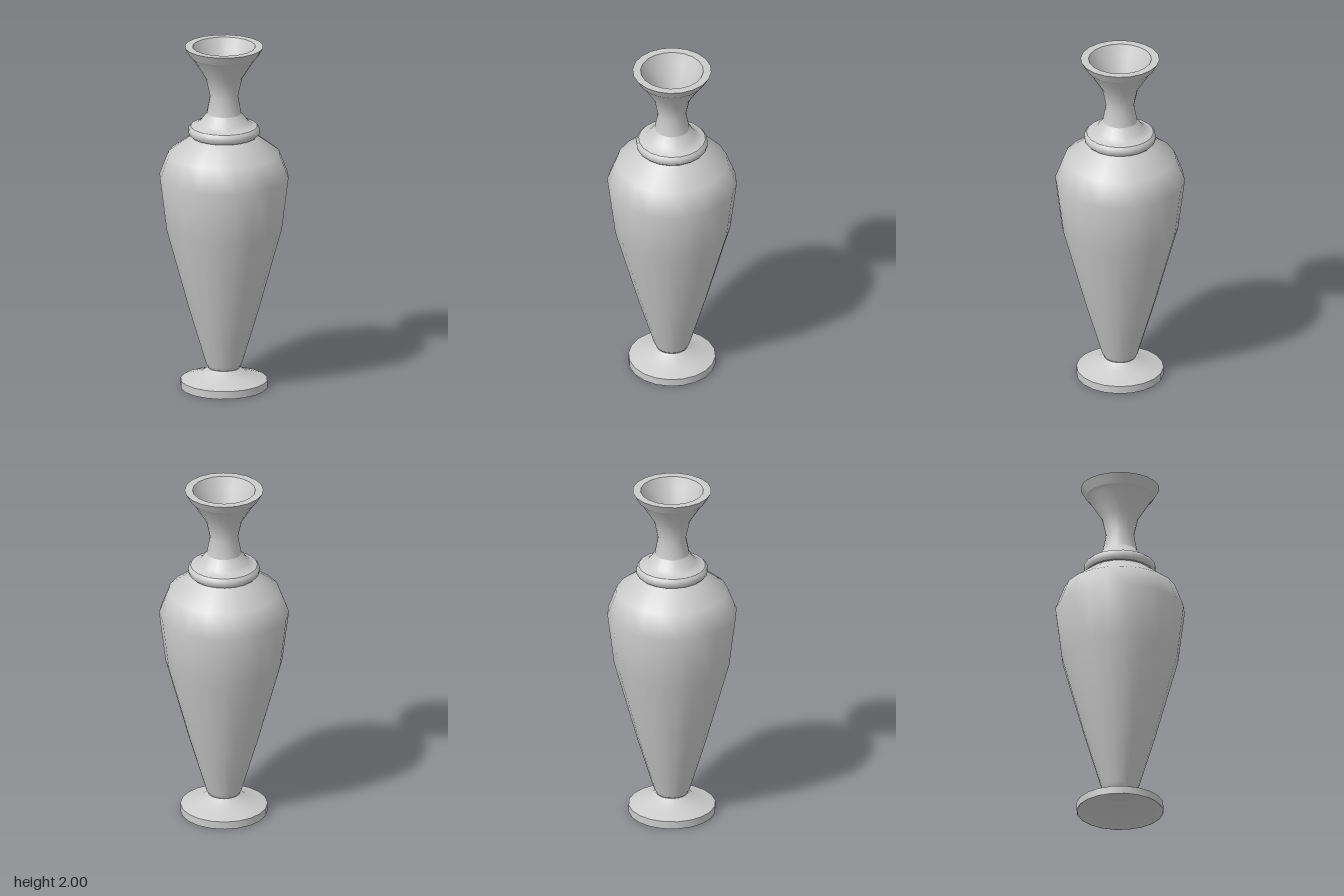
import * as THREE from 'three';

const SIDES = 20;
const material = new THREE.MeshStandardMaterial({ color: 0xcccccc, side: THREE.DoubleSide });

// One smooth run of the turned profile, given as [radius, height] pairs
function turned(name, profile) {
  const points = profile.map(([r, y]) => new THREE.Vector2(r, y));
  const mesh = new THREE.Mesh(new THREE.LatheGeometry(points, SIDES), material);
  mesh.name = name;
  return mesh;
}

function part(name, runs) {
  const group = new THREE.Group();
  group.name = name;
  for (const [runName, profile] of Object.entries(runs)) group.add(turned(runName, profile));
  return group;
}

export function createModel() {
  const vase = new THREE.Group();
  vase.name = 'vase';

  // Disc foot, hollow underneath
  vase.add(part('foot', {
    footEdge: [[0.245, 0], [0.245, 0.045]],
    footTop: [[0.245, 0.045], [0.2, 0.06], [0.13, 0.085], [0.09, 0.115]],
    footHollow: [[0.08, 0.1], [0.12, 0.075], [0.195, 0.045], [0.243, 0]],
    footHollowCap: [[0, 0.1], [0.08, 0.1]],
  }));

  // Tapered belly and sloping shoulder
  vase.add(part('body', {
    belly: [[0.088, 0.115], [0.102, 0.14], [0.2, 0.47], [0.328, 0.94],
      [0.365, 1.24], [0.314, 1.375], [0.18, 1.475]],
  }));

  // Rounded ring between shoulder and neck
  vase.add(part('collar', {
    collarUnderside: [[0.15, 1.478], [0.188, 1.478]],
    collarBand: [[0.188, 1.478], [0.2, 1.49], [0.202, 1.507], [0.2, 1.522], [0.188, 1.535]],
    collarTop: [[0.188, 1.535], [0.165, 1.541], [0.135, 1.56], [0.098, 1.61]],
  }));

  // Waisted neck flaring to a flat lip, with a blind hollow
  vase.add(part('neck', {
    neckOuter: [[0.098, 1.61], [0.079, 1.71], [0.102, 1.815], [0.175, 1.93], [0.193, 1.948]],
    lipEdge: [[0.193, 1.948], [0.222, 2]],
    lipTop: [[0.222, 2], [0.177, 2]],
    mouth: [[0.177, 2], [0.145, 1.93], [0.088, 1.815], [0.07, 1.72]],
    mouthFloor: [[0.07, 1.72], [0, 1.72]],
  }));

  return vase;
}
